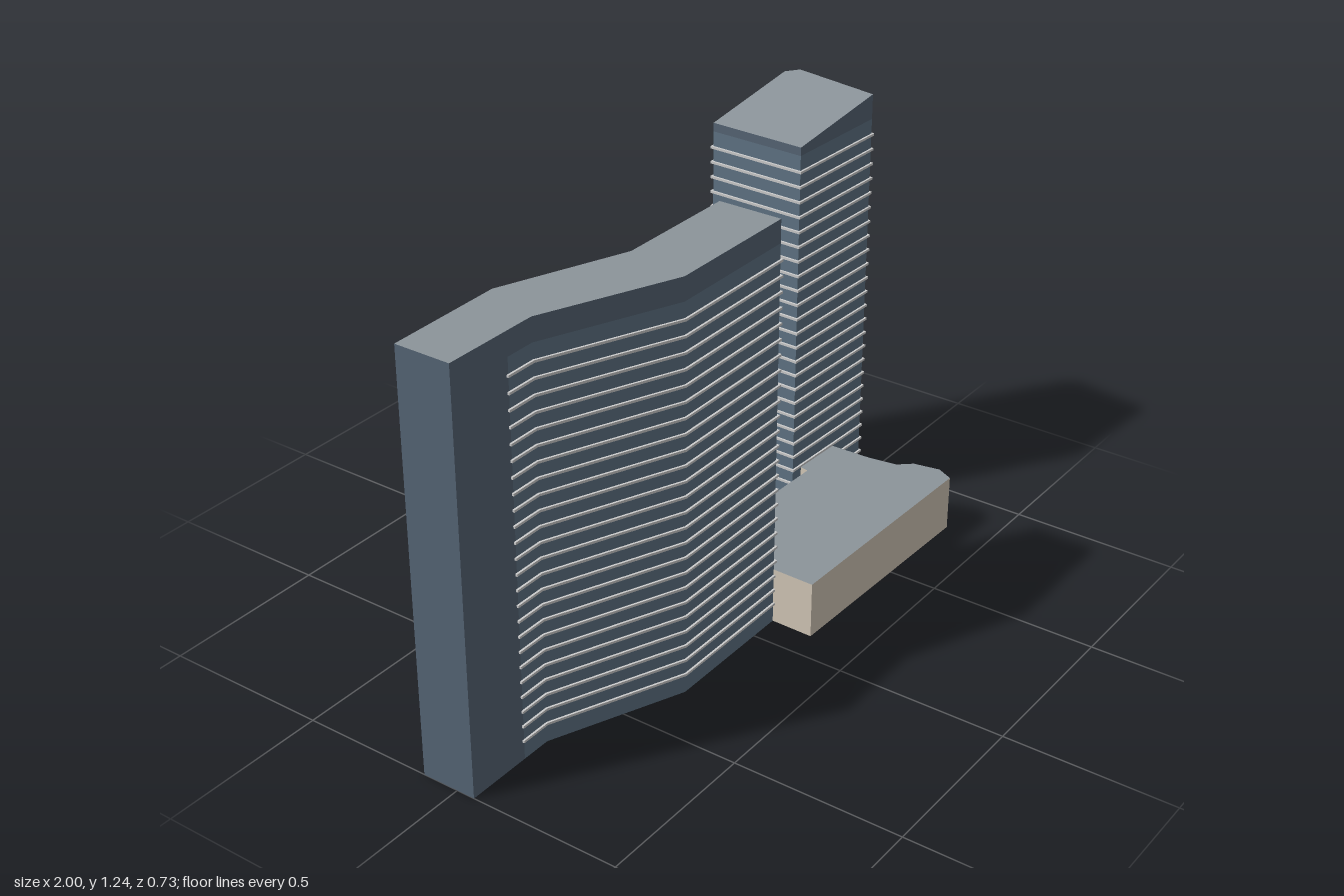
import * as THREE from 'three';

const mat = (color) => new THREE.MeshStandardMaterial({ color, side: THREE.DoubleSide, flatShading: true });

// Footprints are [x, z] corners, counter-clockwise seen from above
const slabPlan = [[-1, 0.055], [-0.71, 0.055], [-0.325, 0.217], [0.093, 0.217], [0.093, 0.025], [-0.285, 0.025], [-0.65, -0.115], [-1, -0.11]];
const slabEndPlan = [[-1, 0.055], [-0.8, 0.055], [-0.8, -0.113], [-1, -0.11]];
const slabGlassPlan = [[-0.8, 0.055], ...slabPlan.slice(1, 7), [-0.8, -0.113]];
const towerPlan = [[0.605, -0.06], [0.957, -0.047], [0.992, -0.32], [0.962, -0.355], [0.612, -0.362]];
const podiumPlan = [[0.09, 0.345], [0.81, 0.36], [0.835, 0.31], [0.82, 0.23], [0.785, 0.19], [0.772, 0.1], [0.768, -0.025], [0.605, -0.032], [0.6, -0.005], [0.097, -0.022]];

// Vertical walls round a footprint, up to a height given by a rule
function walls(plan, y0, topY) {
  const v = [];
  plan.forEach(([ax, az], i) => {
    const [bx, bz] = plan[(i + 1) % plan.length];
    const a0 = [ax, y0, az], b0 = [bx, y0, bz];
    const a1 = [ax, topY(ax), az], b1 = [bx, topY(bx), bz];
    v.push(...a0, ...b0, ...b1, ...a0, ...b1, ...a1);
  });
  const geo = new THREE.BufferGeometry();
  geo.setAttribute('position', new THREE.Float32BufferAttribute(v, 3));
  geo.computeVertexNormals();
  return geo;
}

const toVectors = (plan) => plan.map(([x, z]) => new THREE.Vector2(x, -z));

// Flat or sloping lid over a footprint
function lid(plan, topY) {
  const geo = new THREE.ShapeGeometry(new THREE.Shape(toVectors(plan))).rotateX(-Math.PI / 2);
  const p = geo.attributes.position;
  for (let i = 0; i < p.count; i++) p.setY(i, topY(p.getX(i)));
  geo.computeVertexNormals();
  return geo;
}

// Grow a footprint outward with mitred corners
function grow(plan, d) {
  const pts = toVectors(plan), n = pts.length;
  const normal = (a, b) => { const e = b.clone().sub(a).normalize(); return new THREE.Vector2(e.y, -e.x); };
  return pts.map((p, i) => {
    const n1 = normal(pts[(i + n - 1) % n], p), n2 = normal(p, pts[(i + 1) % n]);
    const m = n1.clone().add(n2).multiplyScalar(d / (1 + n1.dot(n2)));
    return [p.x + m.x, -(p.y + m.y)];
  });
}

// Thin floor band running round a footprint
function band(plan) {
  const shape = new THREE.Shape(toVectors(grow(plan, 0.006)));
  shape.holes.push(new THREE.Path(toVectors(grow(plan, -0.002))));
  return new THREE.ExtrudeGeometry(shape, { depth: 0.007, bevelEnabled: false }).rotateX(-Math.PI / 2);
}

export function createModel() {
  const root = new THREE.Group();
  root.name = 'buildingComplex';
  const glass = mat(0x5f7384), dark = mat(0x556474), roof = mat(0x8c949a), trim = mat(0xd4d6d2), stone = mat(0xd2c7b6);
  const add = (parent, name, geo, material) => {
    const mesh = new THREE.Mesh(geo, material);
    mesh.name = name;
    parent.add(mesh);
    return mesh;
  };
  const building = (name) => {
    const g = new THREE.Group();
    g.name = name;
    root.add(g);
    return g;
  };
  const addBands = (parent, plan) => {
    const geo = band(plan);
    for (let i = 0; i < 24; i++) add(parent, 'floorBand', geo, trim).position.y = 0.055 + i * 0.0458;
  };
  const crownBase = () => 1.16;

  // Long bent slab with a plain end block
  const slab = building('slabBlock');
  const slabTop = () => 1.228;
  add(slab, 'slabGlass', walls(slabGlassPlan, 0, crownBase), glass);
  add(slab, 'slabEndBlock', walls(slabEndPlan, 0, crownBase), dark);
  add(slab, 'slabCrown', walls(slabPlan, 1.16, slabTop), dark);
  add(slab, 'slabRoof', lid(slabPlan, slabTop), roof);
  addBands(slab, slabGlassPlan);

  // Tower with a sloping roof
  const tower = building('tower');
  const towerTop = (x) => 1.185 + (x - 0.605) * 0.143;
  add(tower, 'towerGlass', walls(towerPlan, 0, crownBase), glass);
  add(tower, 'towerCrown', walls(towerPlan, 1.16, towerTop), dark);
  add(tower, 'towerRoof', lid(towerPlan, towerTop), roof);
  addBands(tower, towerPlan);

  // Low podium
  const podium = building('podium');
  const podiumTop = () => 0.17;
  add(podium, 'podiumWalls', walls(podiumPlan, 0, podiumTop), stone);
  add(podium, 'podiumRoof', lid(podiumPlan, podiumTop), roof);

  return root;
}
